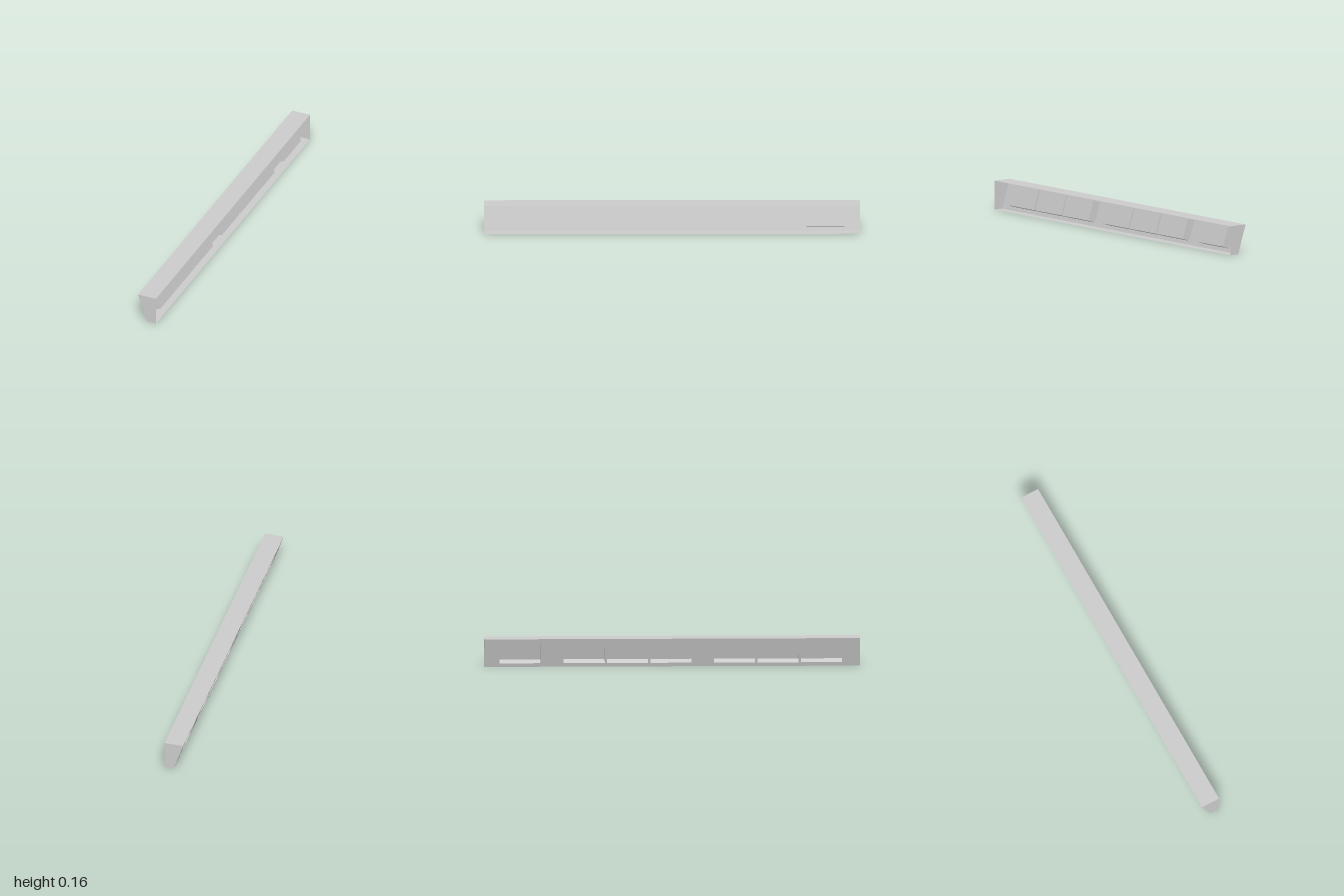
import * as THREE from 'three';

const W = 0.052, H = 0.156, FOOT = -0.001; // half width, height, x of the slope's lower edge
const DEPTH = 0.046, POCKET = 0.219;       // pocket depth and length
const LOW = 0.021, HIGH = 0.132;           // pocket edges, measured up the slope
const CENTRES = [0.795, 0.563, 0.332, -0.006, -0.237, -0.467, -0.808];

export function createModel() {
  const model = new THREE.Group();
  model.name = 'pocketedChannel';
  const material = new THREE.MeshStandardMaterial({
    color: 0xcccccc, flatShading: true, side: THREE.DoubleSide,
  });
  const add = (parent, name, geometry) => {
    const mesh = new THREE.Mesh(geometry, material);
    mesh.name = name;
    parent.add(mesh);
    return mesh;
  };

  // Top and bottom strips; the +x side stays open
  add(model, 'topPanel', new THREE.PlaneGeometry(2 * W, 2).rotateX(-Math.PI / 2).translate(0, H, 0));
  add(model, 'bottomPanel', new THREE.PlaneGeometry(W - FOOT, 2).rotateX(Math.PI / 2)
    .translate((W + FOOT) / 2, 0, 0));

  // Trapezoid end caps
  const cap = new THREE.Shape([[FOOT, 0], [W, 0], [W, H], [-W, H]].map(p => new THREE.Vector2(...p)));
  add(model, 'frontCap', new THREE.ShapeGeometry(cap).translate(0, 0, 1));
  add(model, 'backCap', new THREE.ShapeGeometry(cap).translate(0, 0, -1));

  // Sloped face: local x runs along the length, y up the slope, z outward
  const slope = new THREE.Group();
  slope.name = 'slopedFace';
  const along = new THREE.Vector3(0, 0, 1);
  const up = new THREE.Vector3(-W - FOOT, H, 0);
  const length = up.length();
  up.normalize();
  slope.quaternion.setFromRotationMatrix(
    new THREE.Matrix4().makeBasis(along, up, along.clone().cross(up)));
  slope.position.x = FOOT;
  model.add(slope);

  const rectangle = (Type, x0, x1, y0, y1) =>
    new Type([[x0, y0], [x1, y0], [x1, y1], [x0, y1]].map(p => new THREE.Vector2(...p)));
  const face = rectangle(THREE.Shape, -1, 1, 0, length);
  face.holes = CENTRES.map(c => rectangle(THREE.Path, c - POCKET / 2, c + POCKET / 2, LOW, HIGH));
  add(slope, 'slopedPanel', new THREE.ShapeGeometry(face));

  // Recessed pockets: boxes without their outer side
  const pocket = new THREE.BoxGeometry(POCKET, HIGH - LOW, DEPTH);
  const index = Array.from(pocket.index.array);
  index.splice(24, 6);
  pocket.setIndex(index);
  pocket.clearGroups();
  CENTRES.forEach((c, i) => {
    add(slope, `pocket${i + 1}`, pocket).position.set(c, (LOW + HIGH) / 2, -DEPTH / 2);
  });

  return model;
}
